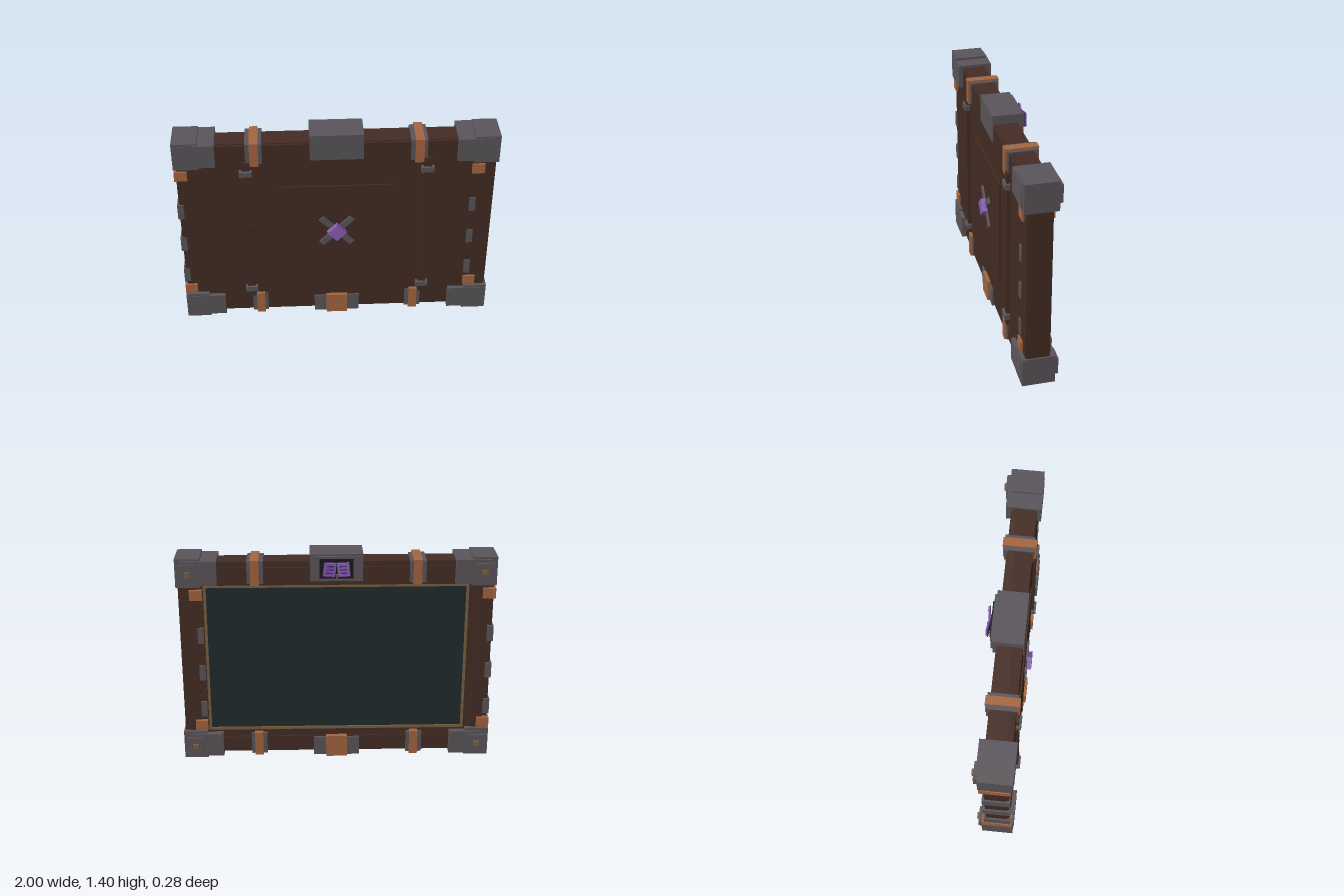
import * as THREE from 'three';

const mat = (name, color) => {
  const m = new THREE.MeshStandardMaterial({ color });
  m.name = name;
  return m;
};

export function createModel() {
  const model = new THREE.Group();
  model.name = 'framedBoard';
  const wood = mat('frame wood', 0x452c24);
  const panelWood = mat('panel wood', 0x422c22);
  const iron = mat('iron', 0x5a555a);
  const copper = mat('copper', 0xa5653f);
  const brass = mat('brass', 0x7c6142);
  const slate = mat('slate', 0x202b2c);
  const black = mat('black inset', 0x17191c);
  const purple = mat('purple', 0x8a5fb4);
  const darkPurple = mat('dark purple', 0x4b3070);

  // box from its limits on each axis
  const box = (name, m, x0, x1, y0, y1, z0, z1, parent = model) => {
    const mesh = new THREE.Mesh(new THREE.BoxGeometry(x1 - x0, y1 - y0, z1 - z0), m);
    mesh.position.set((x0 + x1) / 2, (y0 + y1) / 2, (z0 + z1) / 2);
    mesh.name = name;
    parent.add(mesh);
    return mesh;
  };

  // rectangular ring with a rectangular opening
  const ring = (name, m, x, y0, y1, w, z0, z1) => {
    box(name + 'Bottom', m, -x, x, y0, y0 + w, z0, z1);
    box(name + 'Top', m, -x, x, y1 - w, y1, z0, z1);
    for (const s of [-1, 1]) {
      const c = s * (x - w / 2);
      box(name + 'Side', m, c - w / 2, c + w / 2, y0 + w, y1 - w, z0, z1);
    }
  };

  // wooden frame, moulding, rim and writing surface
  ring('frame', wood, 0.99, 0.03, 1.345, 0.155, -0.056, 0.08);
  ring('moulding', wood, 0.955, 0.065, 1.31, 0.075, -0.066, -0.056);
  ring('rim', brass, 0.84, 0.18, 1.195, 0.022, -0.052, 0);
  box('writingSurface', slate, -0.82, 0.82, 0.2, 1.175, -0.044, 0);
  box('backPanel', panelWood, -0.985, 0.985, 0.035, 1.338, 0, 0.094);
  box('centrePanel', panelWood, -0.357, 0.357, 0.34, 1.03, 0.09, 0.104);

  // battens with iron clips
  for (const s of [-1, 1]) {
    const c = s * 0.562;
    box('batten', panelWood, c - 0.025, c + 0.025, 0.16, 1.225, 0.09, 0.113);
    for (const y of [0.228, 1.147])
      box('battenClip', iron, c - 0.04, c + 0.04, y - 0.018, y + 0.018, 0.095, 0.127);
  }
  box('battenMark', slate, -0.588, -0.536, 0.702, 0.715, 0.1, 0.115);

  // crossed bars and gem
  for (const s of [-1, 1]) {
    const bar = box('crossBar', iron, -0.14, 0.14, 0.667, 0.707, 0.1, 0.116 + s * 0.001);
    bar.rotation.z = s * Math.PI / 4;
  }
  const gem = box('gem', purple, -0.044, 0.044, 0.643, 0.731, 0.11, 0.143);
  gem.rotation.z = Math.PI / 4;

  // corner guards with plates and studs
  for (const s of [-1, 1]) {
    for (const [y, edge] of [[0.097, 0.095], [1.282, 0.093]]) {
      const g = new THREE.Group();
      g.name = 'cornerGuard';
      const part = (n, m, xa, xb, h, z0, z1) =>
        box(n, m, Math.min(s * xa, s * xb), Math.max(s * xa, s * xb), y - h, y + h, z0, z1, g);
      part('cornerBlock', iron, 0.845, 1, edge, -0.088, 0.117);
      part('cornerSleeve', iron, 0.742, 0.96, 0.078, -0.1, 0.121);
      part('studPlate', iron, 0.868, 0.975, 0.057, -0.113, -0.09);
      part('stud', brass, 0.902, 0.938, 0.016, -0.126, -0.11);
      model.add(g);
    }
  }

  // straps over the rails
  for (const x of [-0.507, 0.508]) {
    for (const y of [0.097, 1.28]) {
      box('ironStrap', iron, x - 0.053, x + 0.05, y - 0.071, y + 0.071, -0.083, 0.102);
      box('copperStrap', copper, x - 0.026, x + 0.028, y - 0.081, y + 0.081, -0.092, 0.114);
    }
  }

  // bands and clips on the side posts
  for (const x of [-1, 0.84]) {
    for (const y of [0.234, 1.133])
      box('copperBand', copper, x, x + 0.08, y - 0.033, y + 0.033, -0.085, 0.108);
    for (const y of [0.345, 0.602, 0.858])
      box('postClip', iron, x, x + 0.04, y - 0.052, y + 0.052, -0.071, 0.102);
  }

  // bottom clasp
  box('claspPlate', iron, -0.148, 0.148, 0.008, 0.135, -0.08, 0.104);
  box('clasp', copper, -0.068, 0.068, 0, 0.146, -0.09, 0.117);

  // top plaque with a dark inset
  box('plaque', iron, -0.165, 0.165, 1.225, 1.4, -0.088, 0.1);
  box('plaqueFace', iron, -0.145, 0.145, 1.238, 1.388, -0.101, -0.085);
  box('plaqueInset', black, -0.105, 0.105, 1.25, 1.374, -0.109, -0.098);

  // open book emblem
  const book = new THREE.Group();
  book.name = 'bookEmblem';
  book.position.set(0, 1.313, -0.122);
  for (const s of [-1, 1]) {
    const leaf = new THREE.Group();
    leaf.name = 'bookHalf';
    leaf.position.x = s * 0.043;
    leaf.rotation.set(0, s * 0.15, s * 0.1);
    box('cover', darkPurple, -0.04, 0.04, -0.048, 0.046, 0, 0.006, leaf);
    box('page', purple, -0.037, 0.037, -0.043, 0.042, -0.009, 0, leaf);
    for (const y of [-0.022, 0, 0.022])
      box('pageMark', darkPurple, -0.022, 0.022, y - 0.004, y + 0.004, -0.011, -0.008, leaf);
    book.add(leaf);
  }
  box('bookmark', brass, -0.005, 0.005, -0.056, -0.03, -0.014, 0, book);
  model.add(book);

  return model;
}
